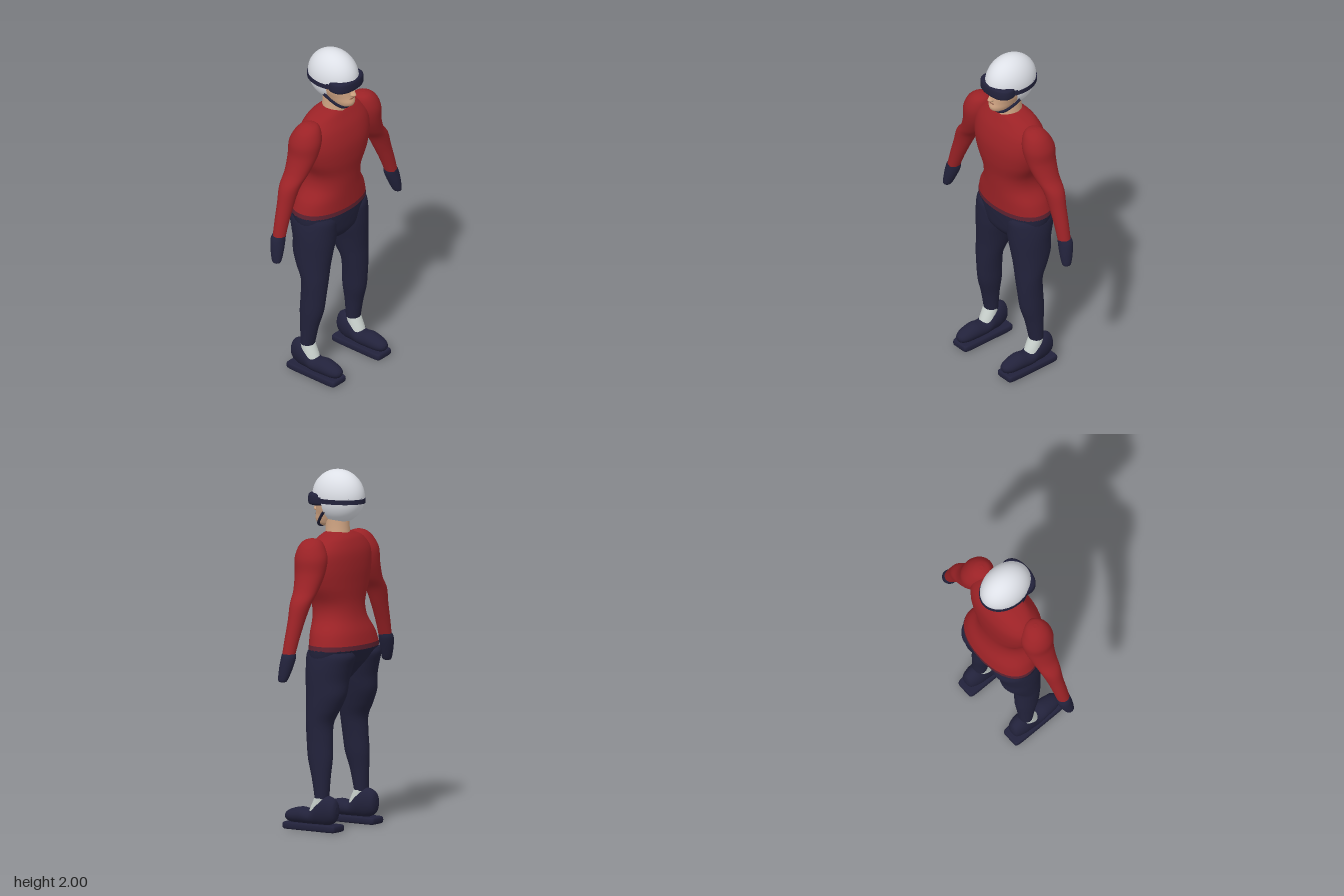
import * as THREE from 'three';

const mat = (name, color, side = THREE.FrontSide) => {
  const m = new THREE.MeshStandardMaterial({ color, side });
  m.name = name;
  return m;
};

// Catmull-Rom blend of four numbers
const blend = (a, b, c, d, t) =>
  0.5 * (2 * b + (c - a) * t + (2 * a - 5 * b + 4 * c - d) * t * t + (3 * b - a - 3 * c + d) * t * t * t);

// Smooth body through oval sections [along, min1, max1, min2, max2].
// axis 'y': sections hold x and z extents; axis 'x': sections hold z and y extents.
function loft(sections, { axis = 'y', power = 2, steps = 6, sides = 40 } = {}) {
  const rows = [];
  const n = sections.length;
  for (let i = 0; i < n - 1; i++) {
    const four = [-1, 0, 1, 2].map(k => sections[Math.min(n - 1, Math.max(0, i + k))]);
    for (let s = 0; s < steps; s++) rows.push(four[1].map((_, k) => blend(...four.map(f => f[k]), s / steps)));
  }
  rows.push(sections[n - 1]);

  const pos = [], index = [];
  const put = (u, a, b) => (axis === 'y' ? pos.push(a, u, b) : pos.push(u, b, a));
  const bend = v => Math.sign(v) * Math.abs(v) ** (2 / power);
  const ring = ([u, a0, a1, b0, b1]) => {
    for (let j = 0; j < sides; j++) {
      const t = (j / sides) * Math.PI * 2;
      put(u, (a0 + a1) / 2 + (Math.abs(a1 - a0) / 2) * bend(Math.cos(t)),
        (b0 + b1) / 2 + (Math.abs(b1 - b0) / 2) * bend(Math.sin(t)));
    }
  };
  rows.forEach(ring);
  for (let i = 0; i < rows.length - 1; i++) {
    for (let j = 0; j < sides; j++) {
      const p = i * sides + j, q = i * sides + (j + 1) % sides;
      index.push(p, p + sides, q, q, p + sides, q + sides);
    }
  }
  // flat end caps
  for (const [row, top] of [[rows[0], false], [rows[rows.length - 1], true]]) {
    const start = pos.length / 3;
    ring(row);
    put(row[0], (row[1] + row[2]) / 2, (row[3] + row[4]) / 2);
    for (let j = 0; j < sides; j++) {
      const p = start + j, q = start + (j + 1) % sides;
      index.push(start + sides, top ? q : p, top ? p : q);
    }
  }
  const g = new THREE.BufferGeometry();
  g.setAttribute('position', new THREE.Float32BufferAttribute(pos, 3));
  g.setIndex(index);
  g.computeVertexNormals();
  return g;
}

export function createModel() {
  const group = new THREE.Group();
  const red = mat('red jersey', 0x9b2226);
  const hemRed = mat('dark red hem', 0x5e2230);
  const navy = mat('navy', 0x22223b);
  const white = mat('helmet white', 0xe0e3ea, THREE.DoubleSide);
  const skin = mat('skin', 0xd2a684);
  const lip = mat('lips', 0x8a5a48);
  const sockGrey = mat('sock grey', 0xc8d0cc);

  const add = (name, geometry, material, parent = group) => {
    const m = new THREE.Mesh(geometry, material);
    m.name = name;
    parent.add(m);
    return m;
  };

  // Torso, facing +x
  add('torso', loft([
    [1.035, -0.205, 0.1, -0.245, 0.245], [1.1, -0.19, 0.103, -0.222, 0.222],
    [1.18, -0.16, 0.108, -0.172, 0.172], [1.26, -0.148, 0.115, -0.168, 0.168],
    [1.36, -0.152, 0.13, -0.215, 0.215], [1.46, -0.156, 0.132, -0.24, 0.24],
    [1.55, -0.148, 0.11, -0.235, 0.235], [1.615, -0.12, 0.075, -0.18, 0.18],
    [1.645, -0.09, 0.055, -0.11, 0.11], [1.657, -0.07, 0.04, -0.06, 0.06],
  ], { power: 2.2 }), red);
  add('hem', loft([[1.01, -0.206, 0.1, -0.25, 0.25], [1.036, -0.205, 0.1, -0.246, 0.246]], { power: 2.2 }), hemRed);
  add('pelvis', loft([
    [0.835, -0.08, 0.05, -0.1, 0.1], [0.88, -0.12, 0.08, -0.18, 0.18],
    [0.95, -0.175, 0.093, -0.238, 0.238], [1.012, -0.206, 0.1, -0.25, 0.25],
  ], { power: 2.2 }), navy);

  // Limbs, mirrored across z
  for (const s of [1, -1]) {
    const side = s > 0 ? 'right' : 'left';
    const flip = rows => rows.map(([u, a, b, c, d]) => [u, a, b, c * s, d * s]);
    const flipAlongX = rows => rows.map(([u, a, b, c, d]) => [u, a * s, b * s, c, d]);

    const arm = new THREE.Group();
    arm.name = side + 'Arm';
    group.add(arm);
    add('sleeve', loft(flip([
      [1.015, -0.043, 0.03, 0.435, 0.508], [1.1, -0.05, 0.03, 0.4, 0.488],
      [1.2, -0.06, 0.032, 0.352, 0.46], [1.29, -0.075, 0.042, 0.305, 0.432],
      [1.36, -0.085, 0.058, 0.245, 0.38], [1.45, -0.098, 0.078, 0.19, 0.346],
      [1.53, -0.1, 0.088, 0.165, 0.338], [1.59, -0.075, 0.075, 0.165, 0.312],
      [1.625, -0.045, 0.05, 0.18, 0.275], [1.637, -0.01, 0.015, 0.215, 0.24],
    ])), red, arm);
    add('mitten', loft(flip([
      [0.867, -0.005, 0.02, 0.5, 0.522], [0.878, -0.02, 0.034, 0.484, 0.533],
      [0.94, -0.04, 0.036, 0.456, 0.53], [0.995, -0.05, 0.032, 0.436, 0.522],
      [1.022, -0.046, 0.03, 0.433, 0.51],
    ])), navy, arm);

    const leg = new THREE.Group();
    leg.name = side + 'Leg';
    group.add(leg);
    add('trouserLeg', loft(flip([
      [0.18, -0.078, 0, 0.15, 0.235], [0.3, -0.085, 0.025, 0.138, 0.237],
      [0.4, -0.092, 0.053, 0.12, 0.24], [0.5, -0.087, 0.064, 0.108, 0.241],
      [0.6, -0.087, 0.07, 0.09, 0.245], [0.68, -0.125, 0.073, 0.068, 0.249],
      [0.76, -0.157, 0.08, 0.045, 0.251], [0.84, -0.163, 0.087, 0.022, 0.252],
      [0.91, -0.18, 0.09, 0.01, 0.251], [0.97, -0.198, 0.09, 0.01, 0.245],
      [1.0, -0.19, 0.08, 0.03, 0.235],
    ])), navy, leg);
    add('sock', loft(flip([[0.08, -0.06, 0.045, 0.145, 0.238], [0.12, -0.07, 0.034, 0.147, 0.238],
      [0.185, -0.076, 0.002, 0.149, 0.237]])), sockGrey, leg);
    // Low shoe with raised heel, along x
    add('shoe', loft(flipAlongX([
      [-0.142, 0.18, 0.21, 0.1, 0.14], [-0.128, 0.155, 0.232, 0.055, 0.178],
      [-0.08, 0.138, 0.246, 0.034, 0.198], [-0.03, 0.136, 0.248, 0.032, 0.178],
      [0.02, 0.138, 0.246, 0.032, 0.12], [0.09, 0.138, 0.244, 0.032, 0.126],
      [0.155, 0.146, 0.236, 0.034, 0.112], [0.19, 0.16, 0.22, 0.045, 0.095],
      [0.203, 0.18, 0.2, 0.062, 0.08],
    ]), { axis: 'x' }), navy, leg);
    add('sole', loft(flip([
      [0, -0.148, 0.19, 0.138, 0.244], [0.008, -0.155, 0.197, 0.132, 0.25],
      [0.03, -0.155, 0.197, 0.132, 0.25], [0.038, -0.148, 0.19, 0.138, 0.244],
    ]), { power: 10, sides: 64, steps: 2 }), navy, leg);
  }

  // Head
  const head = new THREE.Group();
  head.name = 'head';
  group.add(head);
  add('neck', loft([[1.6, -0.085, 0.06, -0.068, 0.068], [1.68, -0.08, 0.058, -0.064, 0.064],
    [1.78, -0.08, 0.06, -0.066, 0.066]]), skin, head);
  add('face', loft([
    [1.68, 0.01, 0.085, -0.028, 0.028], [1.693, -0.03, 0.118, -0.046, 0.046],
    [1.715, -0.06, 0.129, -0.058, 0.058], [1.745, -0.09, 0.124, -0.07, 0.07],
    [1.78, -0.1, 0.121, -0.083, 0.083], [1.84, -0.1, 0.12, -0.095, 0.095],
  ]), skin, head);
  add('nose', loft([[1.757, 0.11, 0.132, -0.012, 0.012], [1.767, 0.1, 0.146, -0.016, 0.016],
    [1.785, 0.1, 0.14, -0.011, 0.011], [1.82, 0.1, 0.127, -0.008, 0.008]]), skin, head);
  const mouth = add('mouth', new THREE.SphereGeometry(1, 20, 10), lip, head);
  mouth.scale.set(0.004, 0.004, 0.024);
  mouth.position.set(0.122, 1.744, 0);

  // Helmet: full dome above, open at the face below
  const helmet = new THREE.Group();
  helmet.name = 'helmet';
  helmet.position.set(-0.018, 1.85, 0);
  helmet.scale.set(0.157, 0.15, 0.119);
  head.add(helmet);
  add('dome', new THREE.SphereGeometry(1, 48, 20, 0, Math.PI * 2, 0, Math.PI / 2), white, helmet);
  add('neckGuard', new THREE.SphereGeometry(1, 36, 20, -1.85, 3.7, Math.PI / 2, 1.12), white, helmet);

  // Goggles, their strap and the chin straps
  add('goggleStrap', loft([[1.817, -0.179, 0.138, -0.122, 0.122], [1.843, -0.179, 0.138, -0.122, 0.122]]), navy, head);
  add('goggles', loft([
    [1.8, 0.01, 0.132, -0.095, 0.095], [1.812, 0, 0.146, -0.114, 0.114],
    [1.856, 0, 0.146, -0.114, 0.114], [1.868, 0.01, 0.136, -0.1, 0.1],
  ], { power: 2.3 }), navy, head);
  const chin = new THREE.CatmullRomCurve3([
    [0.005, 1.775, 0.11], [0.045, 1.733, 0.088], [0.082, 1.693, 0.05], [0.088, 1.68, 0],
    [0.082, 1.693, -0.05], [0.045, 1.733, -0.088], [0.005, 1.775, -0.11],
  ].map(p => new THREE.Vector3(...p)));
  add('chinStrap', new THREE.TubeGeometry(chin, 48, 0.008, 10), navy, head);

  return group;
}
